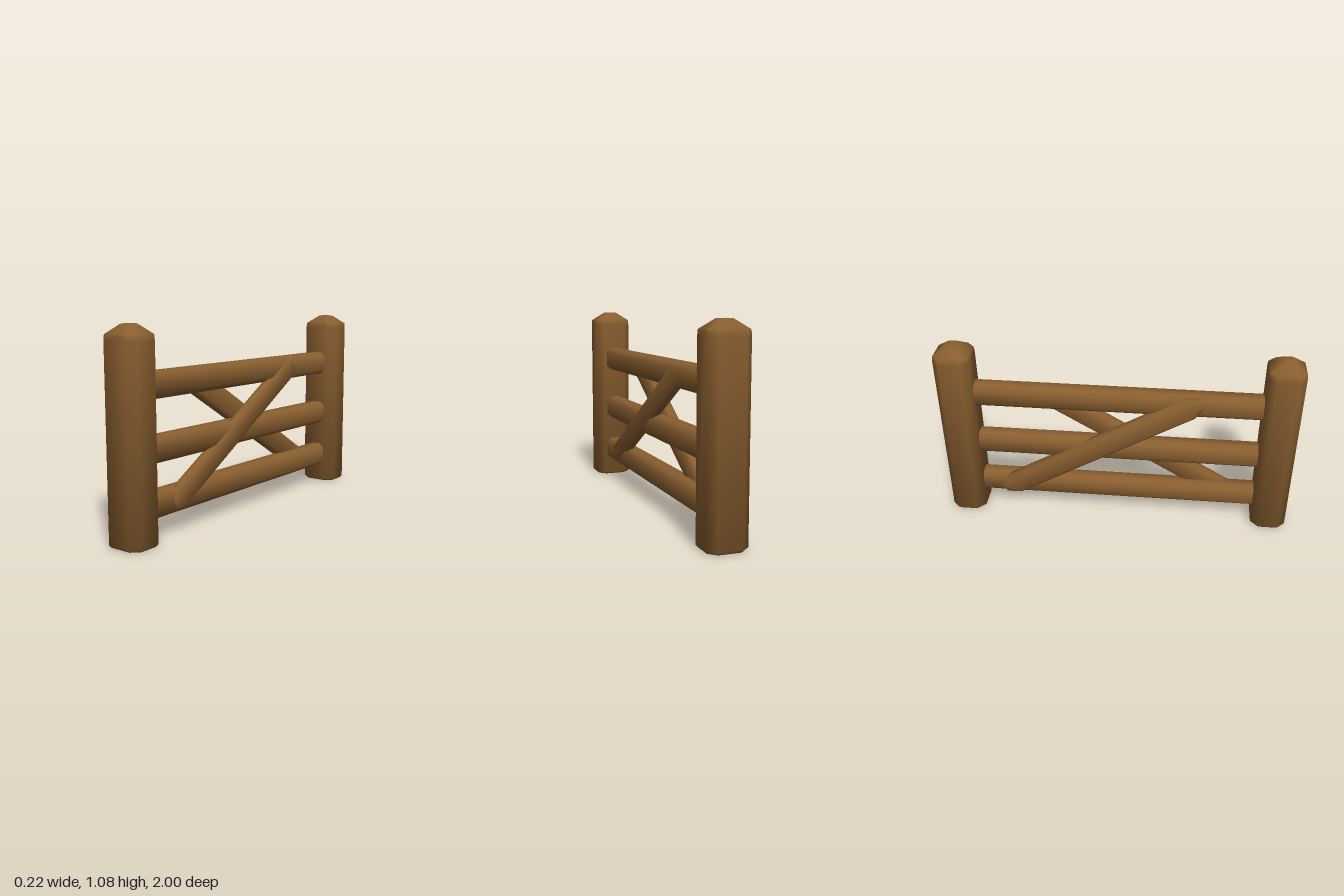
import * as THREE from 'three';
import { toCreasedNormals } from 'three/addons/utils/BufferGeometryUtils.js';

// Chamfered beam along +y: each section is [height, half width x, half depth z, chamfer]
function beamGeometry(sections) {
  const pos = [], index = [], n = 8;
  for (const [y, w, d, c] of sections) {
    const ring = [[w, c - d], [w, d - c], [w - c, d], [c - w, d], [-w, d - c], [-w, c - d], [c - w, -d], [w - c, -d]];
    for (const [u, v] of ring) pos.push(u, y, -v);
  }
  const last = (sections.length - 1) * n;
  const bottom = last + n, top = bottom + 1;
  pos.push(0, sections[0][0], 0, 0, sections[sections.length - 1][0], 0);
  for (let j = 0; j < n; j++) {
    const k = (j + 1) % n;
    for (let r = 0; r < last; r += n) {
      index.push(r + j, r + k, r + n + k, r + j, r + n + k, r + n + j);
    }
    index.push(bottom, k, j, top, last + j, last + k);
  }
  const g = new THREE.BufferGeometry();
  g.setAttribute('position', new THREE.Float32BufferAttribute(pos, 3));
  g.setIndex(index);
  return toCreasedNormals(g, 1.1);
}

export function createModel() {
  const group = new THREE.Group();
  const wood = new THREE.MeshStandardMaterial({ color: 0x8a5f30 });
  wood.name = 'brown wood';

  const add = (name, geometry) => {
    const mesh = new THREE.Mesh(geometry, wood);
    mesh.name = name;
    group.add(mesh);
    return mesh;
  };

  // Posts with softened feet and blunt pointed caps
  const post = beamGeometry([
    [0, 0.1, 0.09, 0.04],
    [0.012, 0.11, 0.1, 0.042],
    [1.0, 0.11, 0.1, 0.042],
    [1.03, 0.108, 0.098, 0.042],
    [1.08, 0.034, 0.032, 0.012],
  ]);
  add('frontPost', post).position.z = 0.9;
  add('backPost', post).position.z = -0.9;

  // Three horizontal rails, running into the posts
  const rail = beamGeometry([[-0.84, 0.054, 0.068, 0.026], [0.84, 0.054, 0.068, 0.026]]);
  [['lowerRail', 0.178], ['middleRail', 0.457], ['upperRail', 0.778]].forEach(([name, y]) => {
    const mesh = add(name, rail);
    mesh.position.y = y;
    mesh.rotation.x = Math.PI / 2;
  });

  // Diagonal braces, one on each face, tapering into the rails at both ends
  const addBrace = (name, x, halfWidth, side) => {
    const low = new THREE.Vector3(x, 0.145, side * 0.67);
    const high = new THREE.Vector3(x, 0.81, side * -0.46);
    const half = low.distanceTo(high) / 2;
    const mesh = add(name, beamGeometry([
      [-half, halfWidth * 0.55, 0.035, 0.012],
      [-half + 0.07, halfWidth, 0.066, 0.018],
      [half - 0.07, halfWidth, 0.066, 0.018],
      [half, halfWidth * 0.55, 0.035, 0.012],
    ]));
    mesh.position.copy(low).add(high).multiplyScalar(0.5);
    mesh.rotation.x = Math.atan2(high.z - low.z, high.y - low.y);
  };
  addBrace('leftBrace', 0.032, 0.031, 1);
  addBrace('rightBrace', -0.044, 0.035, -1);

  return group;
}
